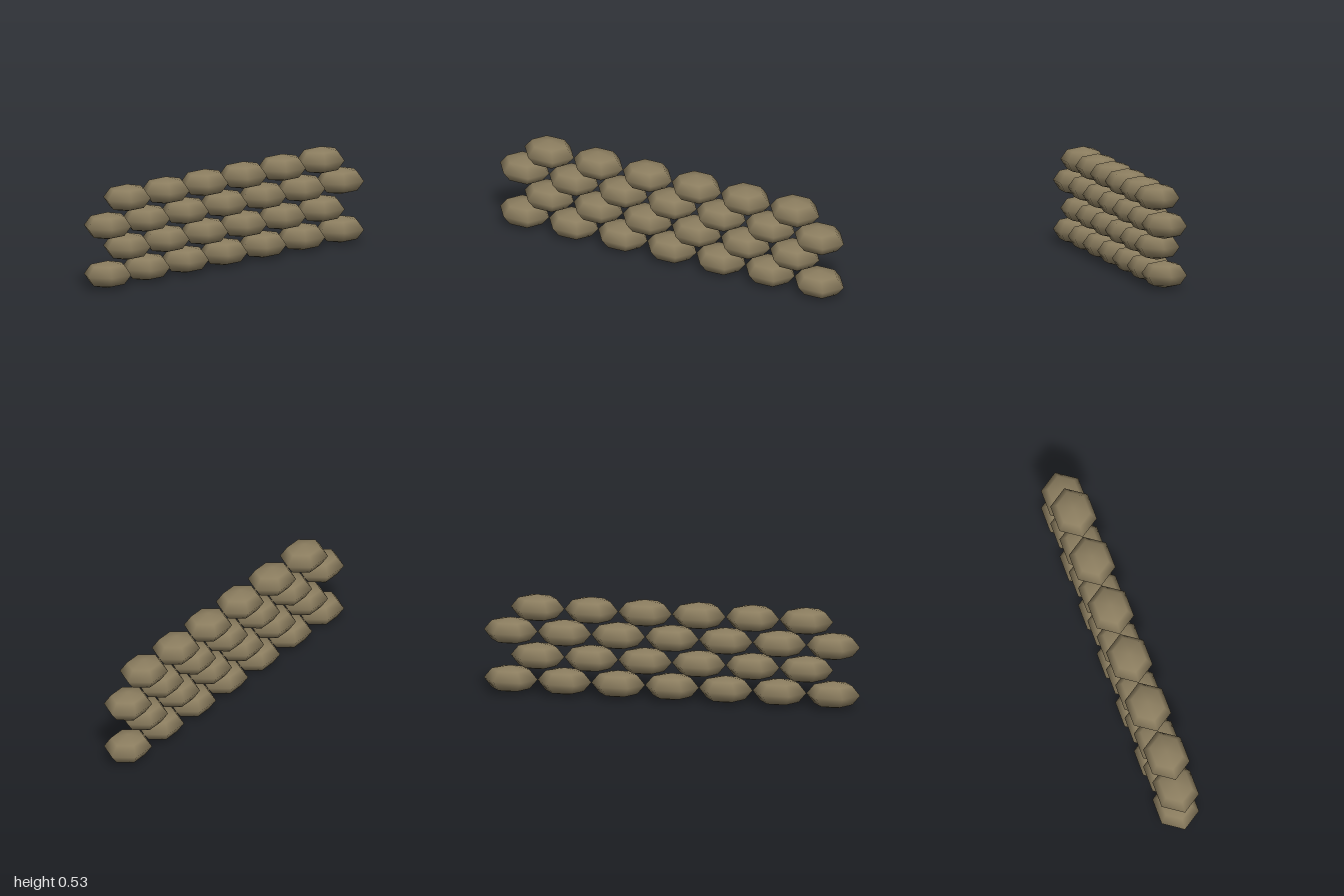
import * as THREE from 'three';

export function createModel() {
  const model = new THREE.Group();
  model.name = 'sandbagWall';
  const material = new THREE.MeshStandardMaterial({ color: 0x8b7d5f });

  // One bag: a coarse, smooth-shaded sphere squashed to a pillow
  const rx = 1 / 7, ry = 0.072, rz = 0.119;
  const bag = new THREE.SphereGeometry(1, 6, 4).scale(rx, ry, rz);

  // Staggered courses of seven and six bags
  [7, 6, 7, 6].forEach((count, row) => {
    const course = new THREE.Group();
    course.name = `course${row + 1}`;
    course.position.y = 0.074 + row * 0.1287;
    for (let i = 0; i < count; i++) {
      const mesh = new THREE.Mesh(bag, material);
      mesh.name = 'sandbag';
      mesh.position.x = (i - (count - 1) / 2) * 2 * rx;
      course.add(mesh);
    }
    model.add(course);
  });

  return model;
}
